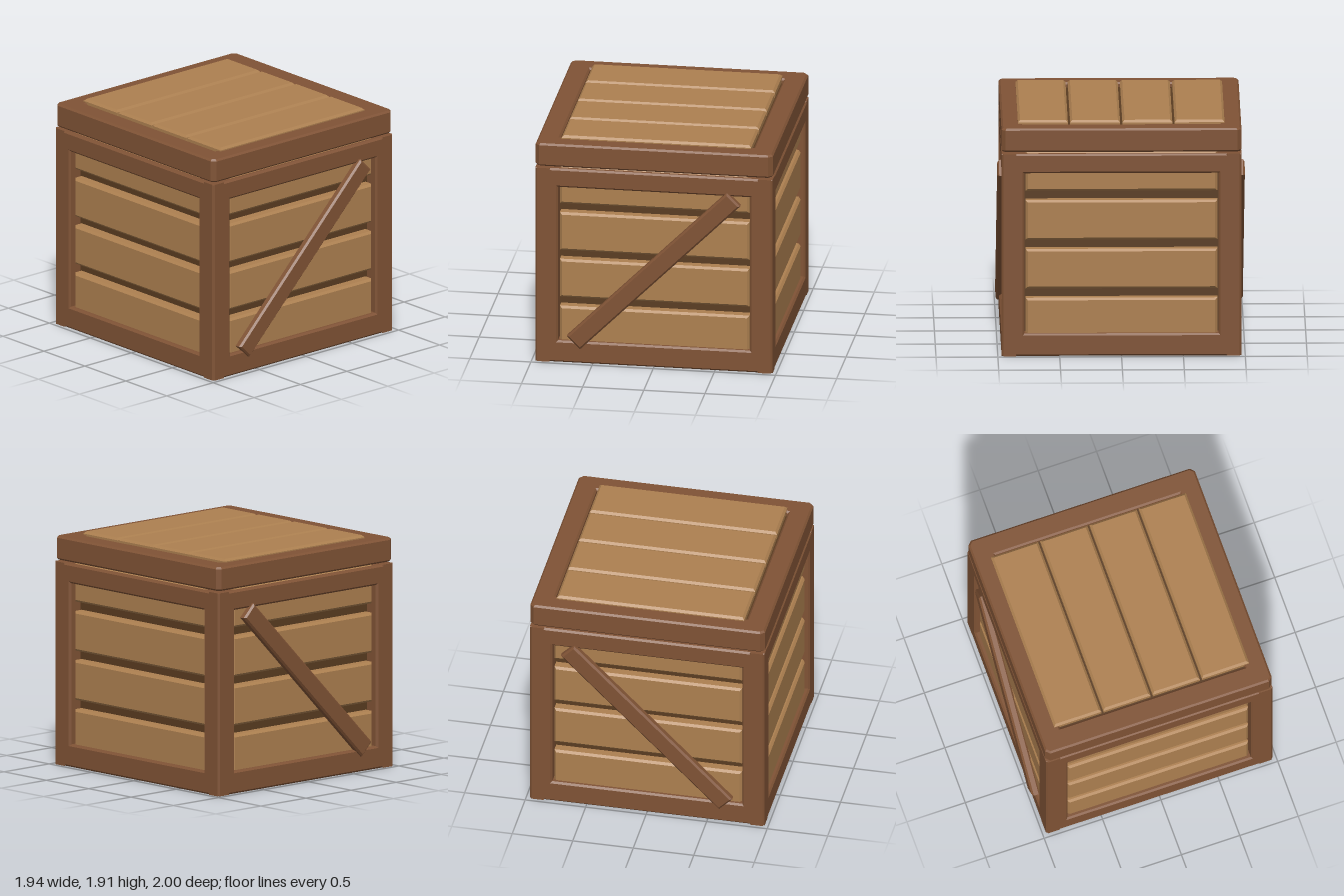
import * as THREE from 'three';

const BEVEL = 0.015;

function rectPath(path, x0, y0, x1, y1, cut = 0) {
  path.moveTo(x0 + cut, y0);
  path.lineTo(x1 - cut, y0);
  if (cut) path.lineTo(x1, y0 + cut);
  path.lineTo(x1, y1 - cut);
  if (cut) path.lineTo(x1 - cut, y1);
  path.lineTo(x0 + cut, y1);
  if (cut) path.lineTo(x0, y1 - cut);
  path.lineTo(x0, y0 + cut);
  path.closePath();
  return path;
}

// Chamfered slab from z = 0 to z = depth, with an optional rectangular opening.
function slab([x0, y0, x1, y1], depth, hole, cut = 0, b = BEVEL) {
  const shape = rectPath(new THREE.Shape(), x0 + b, y0 + b, x1 - b, y1 - b, cut);
  if (hole) {
    const [hx0, hy0, hx1, hy1] = hole;
    shape.holes.push(rectPath(new THREE.Path(), hx0 - b, hy0 - b, hx1 + b, hy1 + b));
  }
  const geo = new THREE.ExtrudeGeometry(shape, {
    depth: depth - 2 * b, bevelEnabled: true, bevelSize: b, bevelThickness: b, bevelSegments: 1,
  });
  return geo.translate(0, 0, b);
}

function add(parent, name, geometry, material) {
  const mesh = new THREE.Mesh(geometry, material);
  mesh.name = name;
  parent.add(mesh);
  return mesh;
}

export function createModel() {
  const frameWood = new THREE.MeshStandardMaterial({ name: 'frame wood', color: 0x805335 });
  const plankWood = new THREE.MeshStandardMaterial({ name: 'plank wood', color: 0xad8050 });
  const darkWood = new THREE.MeshStandardMaterial({ name: 'dark inner wood', color: 0x5a3c21 });
  const crate = new THREE.Group();
  crate.name = 'crate';

  // Dark inner box seen through the gaps and from below
  const core = add(crate, 'innerBox', new THREE.BoxGeometry(1.7, 1.63, 1.7), darkWood);
  core.position.y = 0.815;

  // Four walls: open frame, four planks, and a diagonal brace on front and back
  const names = ['front', 'left', 'back', 'right'];
  names.forEach((side, i) => {
    const wall = new THREE.Group();
    wall.name = side + 'Wall';
    wall.rotation.y = i * Math.PI / 2;
    crate.add(wall);

    const frame = slab([-0.97, 0, 0.97, 1.67], 0.13, [-0.785, 0.185, 0.785, 1.51]);
    add(wall, side + 'Frame', frame, frameWood).position.z = 0.84;

    for (let p = 0; p < 4; p++) {
      const y = 0.145 + p * 0.404;
      const plank = slab([-0.775, y, 0.775, y + 0.327], 0.11, null, 0, 0.018);
      add(wall, side + 'Plank', plank, plankWood).position.z = 0.825;
    }

    if (i % 2 === 0) {
      const brace = add(wall, side + 'Brace', slab([-0.925, -0.077, 0.925, 0.077], 0.07), frameWood);
      brace.position.set(0, 0.836, 0.93);
      // Both braces rise towards the model's left
      brace.rotation.z = (i === 0 ? 1 : -1) * Math.PI / 4;
    }
  });

  // Lid: chamfered rim, dark panel and four top planks
  const lid = new THREE.Group();
  lid.name = 'lid';
  lid.rotation.x = -Math.PI / 2;
  crate.add(lid);
  const rim = slab([-0.97, -0.97, 0.97, 0.97], 0.195, [-0.79, -0.79, 0.79, 0.79], 0.025);
  add(lid, 'lidRim', rim, frameWood).position.z = 1.685;
  const panel = add(lid, 'lidPanel', new THREE.BoxGeometry(1.62, 1.62, 0.14), darkWood);
  panel.position.z = 1.77;
  for (let p = 0; p < 4; p++) {
    const y = -0.835 + p * 0.422;
    const plank = slab([-0.775, y, 0.775, y + 0.404], 0.075, null, 0, 0.018);
    add(lid, 'lidPlank', plank, plankWood).position.z = 1.832;
  }

  return crate;
}
